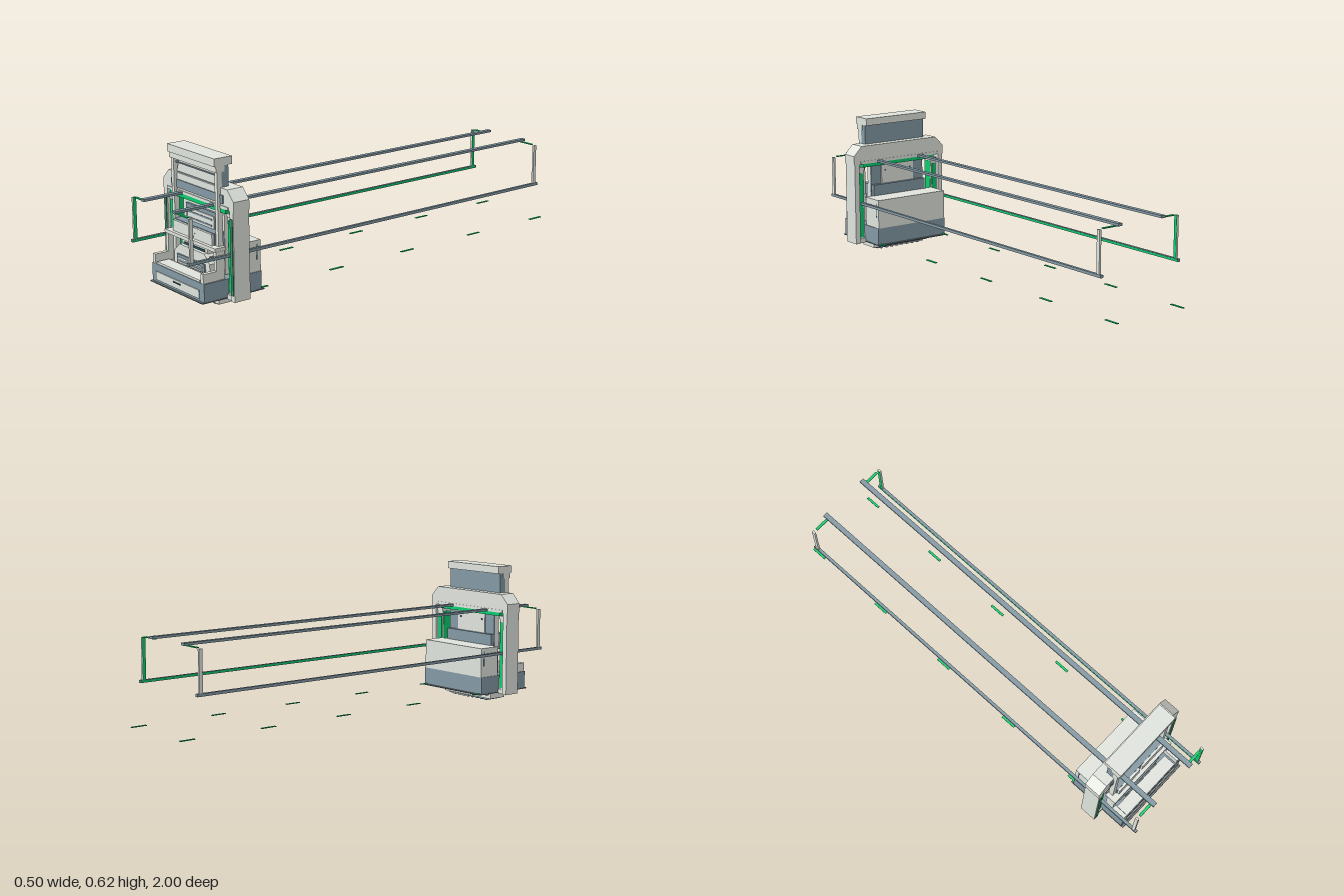
import * as THREE from 'three';

const mat = (name, color) => {
  const m = new THREE.MeshStandardMaterial({ color });
  m.name = name;
  return m;
};

export function createModel() {
  const cream = mat('light grey', 0xdfe3dc);
  const slate = mat('slate', 0x8398a3);
  const green = mat('bright green', 0x0ccb6e);
  const pine = mat('dark green', 0x408f6b);
  const teal = mat('dark teal', 0x28525c);
  const dark = mat('charcoal', 0x687378);

  const root = new THREE.Group();
  root.name = 'gantryMachine';
  const group = (name) => {
    const g = new THREE.Group();
    g.name = name;
    root.add(g);
    return g;
  };
  // box given by its limits on each axis
  const box = (parent, name, m, x0, x1, y0, y1, z0, z1) => {
    const mesh = new THREE.Mesh(new THREE.BoxGeometry(x1 - x0, y1 - y0, z1 - z0), m);
    mesh.position.set((x0 + x1) / 2, (y0 + y1) / 2, (z0 + z1) / 2);
    mesh.name = name;
    parent.add(mesh);
  };
  // the same box on both sides, x0 and x1 measured outwards
  const pair = (parent, name, m, x0, x1, ...r) => {
    box(parent, name + 'Left', m, x0, x1, ...r);
    box(parent, name + 'Right', m, -x1, -x0, ...r);
  };
  // flat outline in x and y, extruded from z0 to z1
  const plate = (parent, name, m, pts, z0, z1) => {
    const shape = new THREE.Shape(pts.map(([x, y]) => new THREE.Vector2(x, y)));
    const geo = new THREE.ExtrudeGeometry(shape, { depth: z1 - z0, bevelEnabled: false });
    const mesh = new THREE.Mesh(geo, m);
    mesh.position.z = z0;
    mesh.name = name;
    parent.add(mesh);
  };

  // Portal frame with chamfered shoulders
  const portal = group('portal');
  plate(portal, 'portalFrame', cream, [
    [-0.252, 0.418], [-0.252, 0.46], [-0.21, 0.503], [0.21, 0.503], [0.252, 0.46], [0.252, 0.418],
    [0.249, 0.418], [0.249, 0.043], [0.224, 0.043], [0.224, 0.418],
    [-0.224, 0.418], [-0.224, 0.043], [-0.249, 0.043], [-0.249, 0.418],
  ], 0.733, 0.81);
  box(portal, 'beamInlay', slate, -0.186, 0.184, 0.44, 0.475, 0.809, 0.814);
  box(portal, 'beamLedge', cream, -0.22, 0.217, 0.42, 0.432, 0.731, 0.814);
  box(portal, 'beamLight', green, -0.2, 0.2, 0.402, 0.4195, 0.735, 0.812);
  pair(portal, 'legWindow', pine, 0.23, 0.245, 0.07, 0.388, 0.808, 0.814);
  pair(portal, 'innerLeg', cream, 0.192, 0.225, 0.043, 0.39, 0.747, 0.797);
  pair(portal, 'innerLegTop', cream, 0.19, 0.225, 0.388, 0.402, 0.742, 0.802);
  pair(portal, 'innerLegLight', green, 0.197, 0.219, 0.07, 0.373, 0.744, 0.8);
  pair(portal, 'innerLegLining', green, 0.19, 0.1925, 0.07, 0.385, 0.752, 0.792);
  pair(portal, 'innerLegFoot', cream, 0.187, 0.225, 0.043, 0.063, 0.742, 0.805);

  // Head, neck and front columns
  const tower = group('tower');
  box(tower, 'headLower', cream, -0.168, 0.168, 0.567, 0.592, 0.79, 0.832);
  box(tower, 'headUpper', cream, -0.169, 0.168, 0.592, 0.625, 0.754, 0.84);
  box(tower, 'neckBlock', slate, -0.165, 0.165, 0.49, 0.592, 0.77, 0.803);
  plate(tower, 'neckPanel', cream, [
    [-0.145, 0.51], [0.145, 0.51], [0.127, 0.565], [-0.127, 0.565],
  ], 0.803, 0.811);
  box(tower, 'neckBar', slate, -0.147, 0.147, 0.547, 0.552, 0.806, 0.816);
  pair(tower, 'frontColumn', cream, 0.147, 0.165, 0.13, 0.567, 0.802, 0.825);

  // Central cabinet behind the columns
  const cabinet = group('cabinet');
  box(cabinet, 'backPanel', cream, -0.147, 0.147, 0.13, 0.42, 0.76, 0.782);
  box(cabinet, 'rearWall', slate, -0.147, 0.147, 0.25, 0.42, 0.754, 0.76);
  box(cabinet, 'rearPlate', cream, -0.09, 0.09, 0.31, 0.41, 0.749, 0.754);
  for (const x of [-0.07, 0.07])
    box(cabinet, 'rearFixing', teal, x - 0.004, x + 0.004, 0.37, 0.378, 0.747, 0.75);
  box(cabinet, 'ventFrame', slate, -0.113, 0.112, 0.31, 0.379, 0.78, 0.792);
  box(cabinet, 'ventPanel', cream, -0.097, 0.094, 0.31, 0.363, 0.79, 0.797);
  for (const y of [0.348, 0.322])
    box(cabinet, 'ventSlot', slate, -0.084, 0.081, y - 0.0035, y + 0.0035, 0.796, 0.799);
  box(cabinet, 'drawerFrame', slate, -0.146, 0.144, 0.24, 0.311, 0.735, 0.83);
  box(cabinet, 'drawerRight', cream, -0.142, -0.01, 0.258, 0.308, 0.81, 0.84);
  box(cabinet, 'drawerLeft', cream, 0.007, 0.14, 0.258, 0.308, 0.81, 0.84);
  for (const x of [-0.13, 0.02])
    box(cabinet, 'drawerLock', teal, x - 0.001, x + 0.001, 0.284, 0.286, 0.839, 0.842);

  // Shelf, its side posts and the sloped housing below it
  const bench = group('bench');
  box(bench, 'shelf', cream, -0.183, 0.182, 0.246, 0.261, 0.8, 0.855);
  pair(bench, 'shelfPost', cream, 0.165, 0.183, 0.128, 0.247, 0.81, 0.85);
  pair(bench, 'armRest', cream, 0.165, 0.184, 0.127, 0.167, 0.845, 0.915);
  box(bench, 'displayHousing', cream, -0.093, 0.093, 0.2, 0.238, 0.78, 0.83);
  box(bench, 'displaySlot', teal, -0.076, 0.074, 0.218, 0.227, 0.829, 0.833);
  box(bench, 'sideWindow', teal, -0.115, -0.087, 0.218, 0.243, 0.805, 0.812);
  box(bench, 'lever', cream, 0.113, 0.119, 0.18, 0.208, 0.81, 0.835);
  plate(bench, 'slopedHousing', cream, [
    [-0.13, 0.127], [0.128, 0.127], [0.128, 0.18], [0.09, 0.216], [-0.09, 0.216], [-0.13, 0.18],
  ], 0.78, 0.845);
  box(bench, 'grille', slate, -0.1, 0.099, 0.137, 0.174, 0.844, 0.852);
  for (const y of [0.159, 0.143])
    box(bench, 'grilleSlat', cream, -0.09, 0.088, y - 0.003, y + 0.003, 0.851, 0.855);
  box(bench, 'frontSill', cream, -0.157, 0.155, 0.125, 0.136, 0.855, 0.913);

  // Base with front drawer and the rear housing on top
  const base = group('base');
  box(base, 'baseBlock', slate, -0.19, 0.19, 0.05, 0.127, 0.635, 0.916);
  box(base, 'drawerFront', cream, -0.158, 0.157, 0.06, 0.096, 0.915, 0.92);
  box(base, 'drawerHandle', teal, -0.026, 0.024, 0.082, 0.087, 0.919, 0.923);
  box(base, 'bottomPlate', dark, -0.192, 0.192, 0.046, 0.05, 0.622, 0.927);
  box(base, 'rearHousing', cream, -0.187, 0.187, 0.127, 0.26, 0.635, 0.74);
  pair(base, 'rearSideSlot', teal, 0.186, 0.188, 0.178, 0.245, 0.651, 0.655);

  // Tray and slatted feet underneath
  const under = group('undercarriage');
  box(under, 'trayRim', cream, -0.145, 0.145, 0.03, 0.046, 0.71, 0.84);
  box(under, 'trayStrip', slate, -0.13, 0.13, 0.034, 0.041, 0.839, 0.843);
  box(under, 'tray', cream, -0.153, 0.152, 0.012, 0.036, 0.73, 0.82);
  box(under, 'trayFloor', slate, -0.132, 0.13, 0.005, 0.012, 0.738, 0.812);
  pair(under, 'trayHook', cream, 0.13, 0.142, 0.026, 0.04, 0.838, 0.848);
  for (let i = 0; i < 8; i++) {
    const x = -0.106 + i * 0.0295;
    box(under, 'footSlat', slate, x - 0.005, x + 0.005, 0, 0.006, 0.742, 0.808);
  }

  // Long rails with end posts and cross links
  const rails = group('rails');
  pair(rails, 'upperRail', slate, 0.103, 0.125, 0.419, 0.429, -0.935, 1);
  pair(rails, 'upperRailLight', green, 0.106, 0.122, 0.418, 0.4195, -0.935, 1);
  pair(rails, 'lowerRail', slate, 0.2, 0.213, 0.225, 0.237, -0.935, 1);
  pair(rails, 'lowerRailLight', green, 0.199, 0.2005, 0.227, 0.235, -0.935, 1);
  for (const z of [0.983, -0.915]) {
    pair(rails, 'railPost', cream, 0.202, 0.211, 0.235, 0.415, z - 0.008, z + 0.008);
    pair(rails, 'railPostLight', green, 0.201, 0.2022, 0.235, 0.415, z - 0.007, z + 0.007);
    pair(rails, 'railLink', green, 0.115, 0.19, 0.415, 0.419, z - 0.006, z + 0.006);
  }

  // Floor markers along the track
  const markers = group('floorMarkers');
  for (let i = 0; i < 5; i++) {
    const z = 0.63 - i * 0.398;
    pair(markers, 'floorMarker', green, 0.172, 0.183, 0.05, 0.053, z - 0.036, z + 0.036);
  }
  return root;
}
